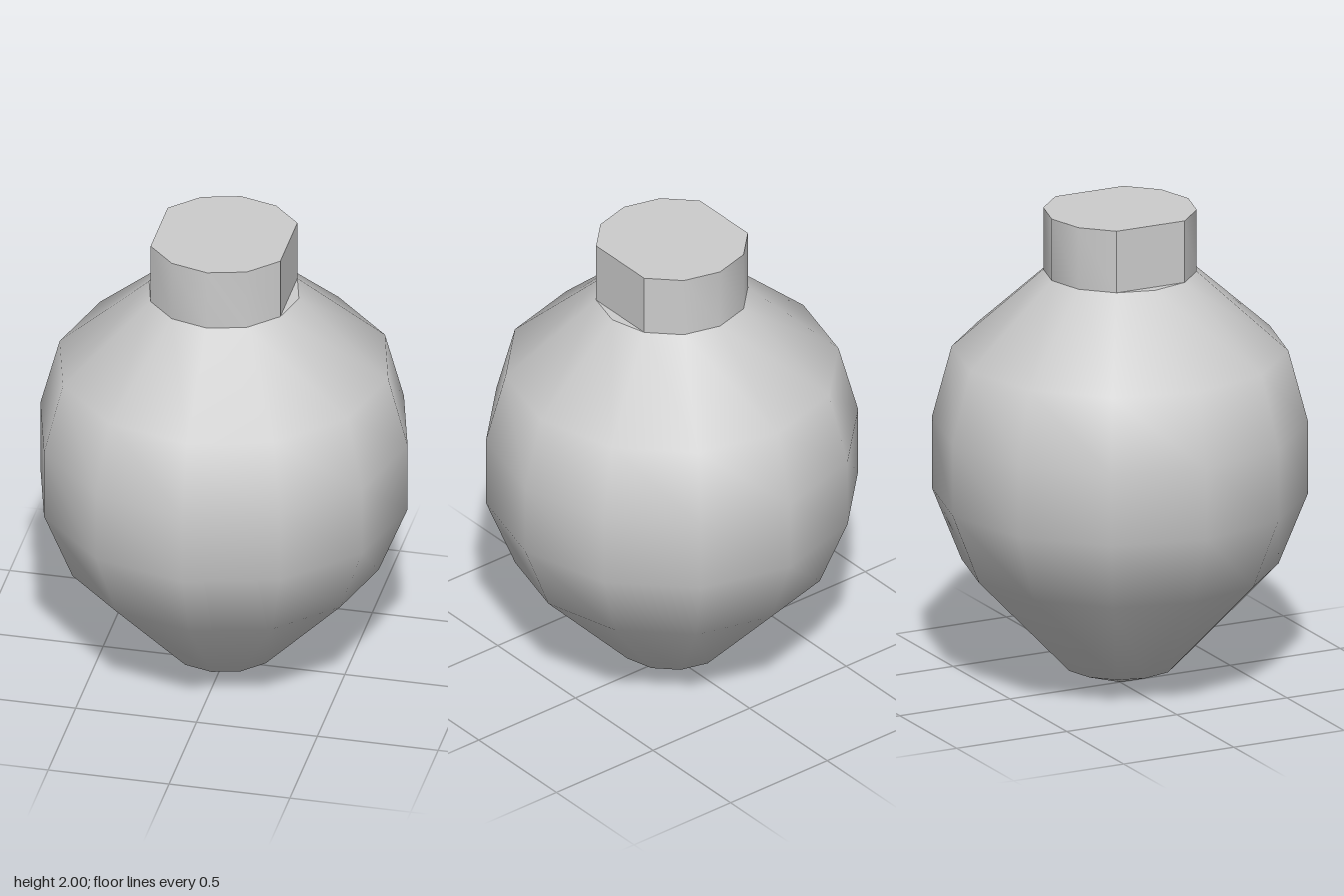
import * as THREE from 'three';
import { toCreasedNormals } from 'three/addons/utils/BufferGeometryUtils.js';

const SIDES = 12;
const RIM = 0.31;
const NECK_Y = 1.74;
const TOP_Y = 2;

export function createModel() {
  const model = new THREE.Group();
  const material = new THREE.MeshStandardMaterial({ color: 0xcccccc });

  // Smooth bulb; the doubled rim point keeps the shoulder edge sharp
  const profile = [
    [0, 0], [0.23, 0.08], [0.64, 0.51], [0.76, 0.81], [0.76, 1.11],
    [0.68, 1.41], [RIM, NECK_Y], [RIM, NECK_Y], [0, NECK_Y],
  ].map(([r, y]) => new THREE.Vector2(r, y));
  const bulb = new THREE.Mesh(new THREE.LatheGeometry(profile, SIDES), material);
  bulb.name = 'bulb';
  model.add(bulb);

  // Cap: twelve-sided outline with its left and right corners cut flat
  const outline = [];
  for (let i = 0; i < SIDES; i++) {
    if (i % 6 === 0) continue;
    const a = (i / SIDES) * Math.PI * 2;
    outline.push(new THREE.Vector2(Math.cos(a) * RIM, Math.sin(a) * RIM));
  }
  const capGeometry = new THREE.ExtrudeGeometry(new THREE.Shape(outline), {
    depth: TOP_Y - NECK_Y,
    bevelEnabled: false,
  });
  capGeometry.rotateX(-Math.PI / 2);
  const cap = new THREE.Mesh(toCreasedNormals(capGeometry, 0.65), material);
  cap.position.y = NECK_Y;
  cap.name = 'cap';
  model.add(cap);

  return model;
}
